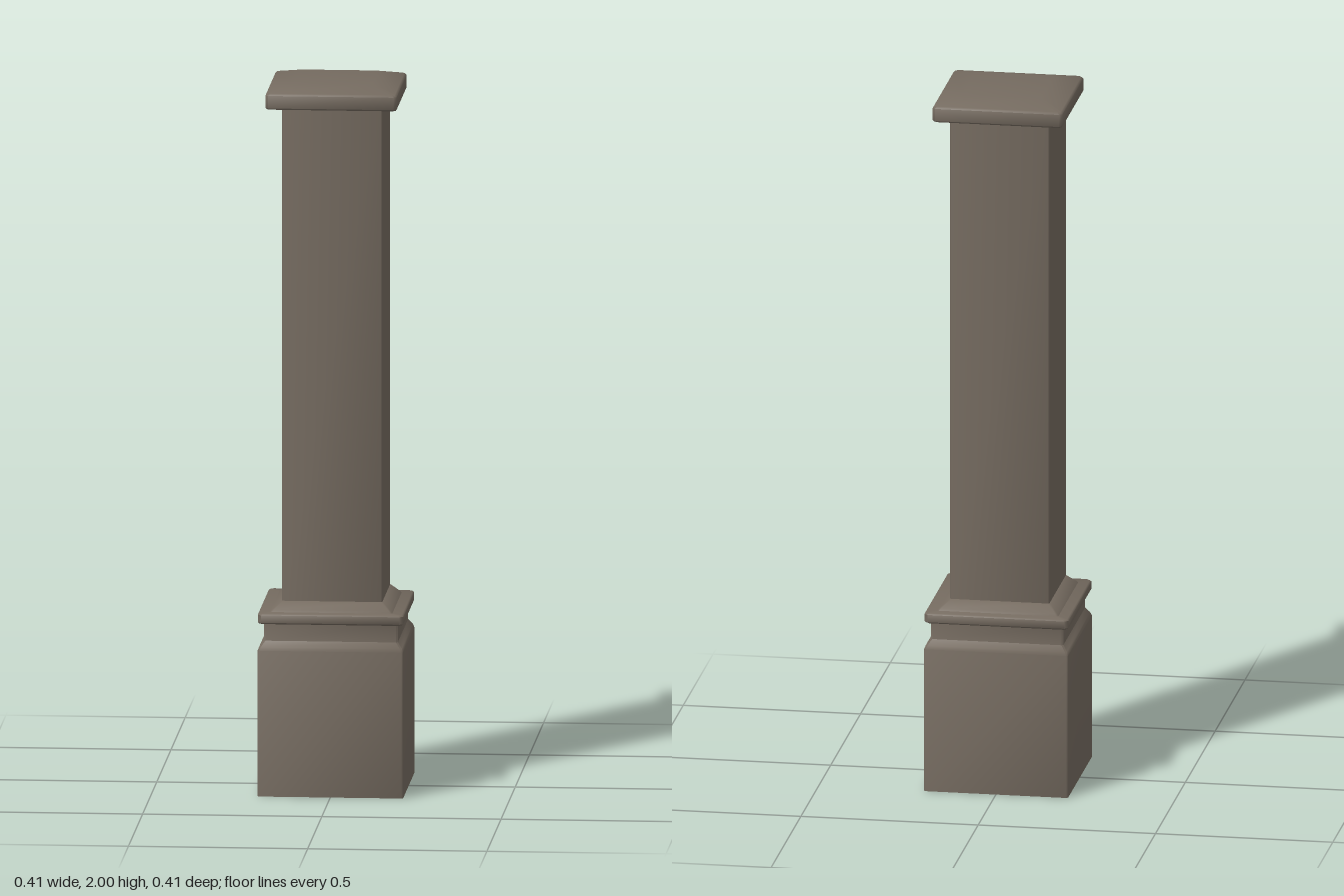
import * as THREE from 'three';
import { toCreasedNormals } from 'three/addons/utils/BufferGeometryUtils.js';

const stone = new THREE.MeshStandardMaterial({ color: 0x756b60 });
stone.name = 'stone';

// Square ring with small chamfered corners
function squareRing(h, y, c) {
  const k = h - c;
  return [[h, -k], [h, k], [k, h], [-k, h], [-h, k], [-h, -k], [-k, -h], [k, -h]]
    .map(([x, z]) => [x, y, z]);
}

// Closed square moulding lofted through [half width, height] pairs
function moulding(name, profile, corner = 0.01) {
  const points = profile.flatMap(([h, y]) => squareRing(h, y, corner));
  const n = 8, last = (profile.length - 1) * n;
  const bottom = points.length, top = bottom + 1;
  points.push([0, profile[0][1], 0], [0, profile[profile.length - 1][1], 0]);
  const index = [];
  for (let i = 0; i < n; i++) {
    const k = (i + 1) % n;
    for (let j = 0; j < last; j += n) {
      index.push(j + i, j + n + i, j + k, j + k, j + n + i, j + n + k);
    }
    index.push(bottom, i, k, top, last + k, last + i);
  }
  const geometry = new THREE.BufferGeometry();
  geometry.setAttribute('position', new THREE.Float32BufferAttribute(points.flat(), 3));
  geometry.setIndex(index);
  const mesh = new THREE.Mesh(toCreasedNormals(geometry, 0.87), stone);
  mesh.name = name;
  return mesh;
}

export function createModel() {
  const column = new THREE.Group();
  column.name = 'squareColumn';
  column.add(
    // Plinth block, bevelled in to a narrower neck
    moulding('plinth', [[0.203, 0], [0.203, 0.412], [0.199, 0.422], [0.187, 0.438], [0.187, 0.49]], 0.005),
    // Projecting band above the neck
    moulding('plinthBand', [[0.199, 0.487], [0.203, 0.491], [0.203, 0.512], [0.199, 0.516]]),
    // Sloped skirt at the foot of the shaft
    moulding('shaftSkirt', [[0.172, 0.514], [0.165, 0.522], [0.142, 0.543]], 0.005),
    moulding('shaft', [[0.14, 0.53], [0.14, 1.945]], 0.004),
    // Cap slab with a shallow hipped top
    moulding('cap', [[0.18, 1.938], [0.183, 1.942], [0.183, 1.977], [0.178, 1.983], [0.11, 2]], 0.008)
  );
  return column;
}
